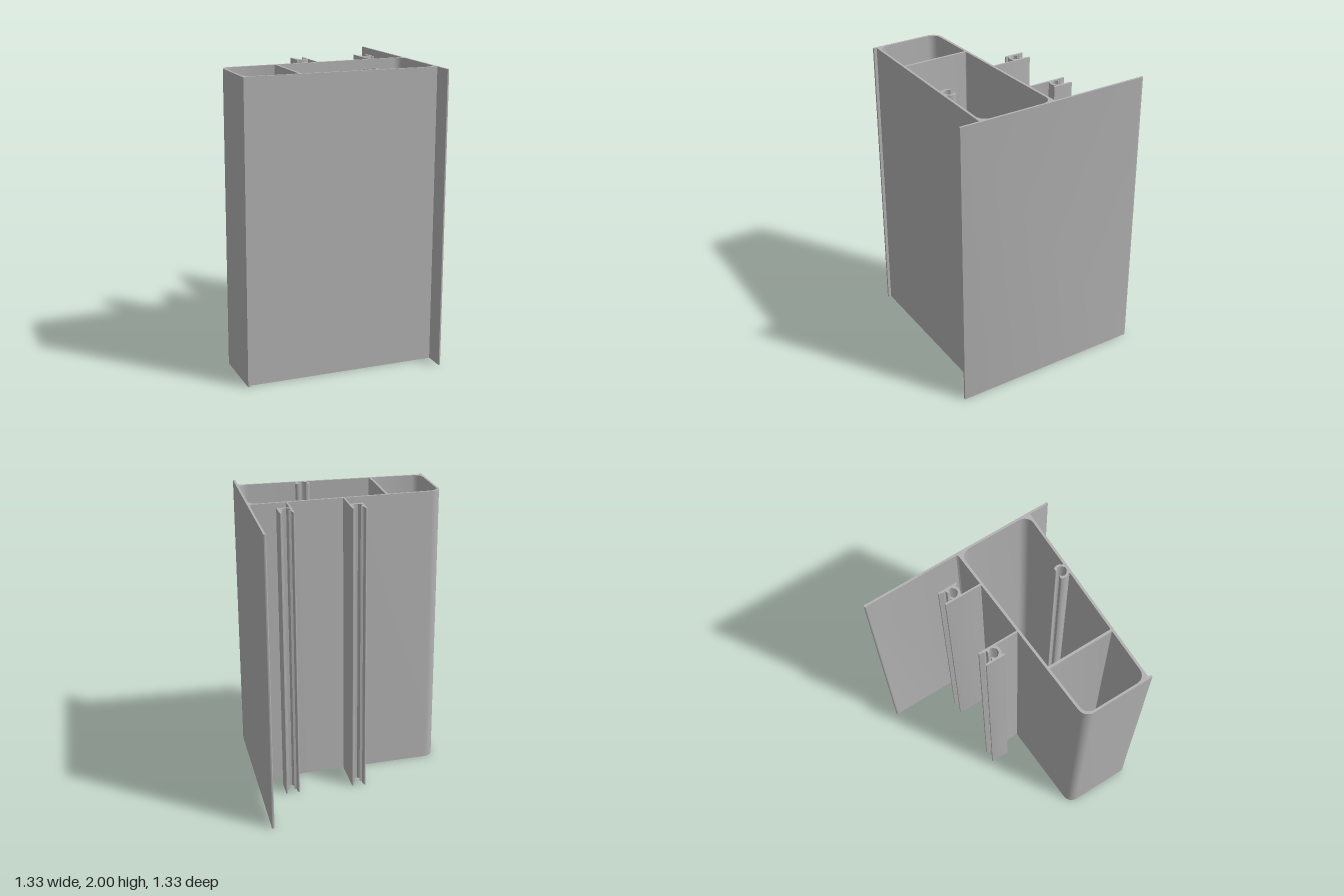
import * as THREE from 'three';
import { toCreasedNormals } from 'three/addons/utils/BufferGeometryUtils.js';

const HEIGHT = 2;

// Closed outline from [x, z, cornerRadius] points
function outline(points, Type = THREE.Shape) {
  const path = new Type();
  const n = points.length;
  points.forEach(([x, z, r = 0], i) => {
    const corner = new THREE.Vector2(x, z);
    const toward = (p, d) => {
      const dir = new THREE.Vector2(p[0] - x, p[1] - z).normalize();
      return corner.clone().addScaledVector(dir, d);
    };
    const prev = points[(i + n - 1) % n], next = points[(i + 1) % n];
    const a = toward(prev, r), b = toward(next, r);
    if (i === 0) path.moveTo(a.x, a.y); else path.lineTo(a.x, a.y);
    if (r > 0) {
      const c = toward(prev, r * 0.45), d = toward(next, r * 0.45);
      path.bezierCurveTo(c.x, c.y, d.x, d.y, b.x, b.y);
    }
  });
  path.closePath();
  return path;
}

// Full outline from a half that starts and ends on the middle line
const mirrored = (half) => [
  ...half,
  ...half.slice(1, -1).reverse().map(([x, z, r]) => [-x, z, r]),
];

export function createModel() {
  const model = new THREE.Group();
  model.name = 'extrudedFrameProfile';
  const aluminium = new THREE.MeshStandardMaterial({ color: 0xb2b2b2 });
  aluminium.name = 'aluminium grey';

  // Cross-section in x and z, pulled up along y
  function addProfile(name, shape, x = 0, parent = model) {
    let geometry = new THREE.ExtrudeGeometry(shape, { depth: HEIGHT, bevelEnabled: false, curveSegments: 8 });
    geometry.rotateX(Math.PI / 2);
    geometry.translate(x, HEIGHT, 0);
    geometry = toCreasedNormals(geometry, 0.6);
    const mesh = new THREE.Mesh(geometry, aluminium);
    mesh.name = name;
    parent.add(mesh);
  }

  // Sloping back wall
  const backOuter = (x) => 0.0323 - 0.0544 * x;
  const backInner = (x) => backOuter(x) + 0.017;

  // Hollow tube with two chambers, a divider and a small front lip
  const tube = outline([
    [-0.663, backOuter(-0.663), 0.066],
    [0.65, backOuter(0.65)],
    [0.65, 0.53],
    [-0.648, 0.53],
    [-0.648, 0.55],
    [-0.663, 0.55],
  ]);
  tube.holes.push(
    outline([
      [-0.648, backInner(-0.648), 0.06],
      [-0.292, backInner(-0.292), 0.006],
      [-0.292, 0.514, 0.006],
      [-0.648, 0.514, 0.063],
    ], THREE.Path),
    outline([
      [-0.275, backInner(-0.275), 0.006],
      [0.646, backInner(0.646), 0.066],
      [0.646, 0.514, 0.066],
      [-0.275, 0.514, 0.006],
    ], THREE.Path),
  );
  addProfile('chamberedTube', tube);

  // Long side flange with a beaded back edge
  addProfile('sideFlange', outline([
    [0.647, 0.666, 0.004], [0.661, 0.666, 0.004],
    [0.661, -0.645], [0.663, -0.655], [0.661, -0.666, 0.006],
    [0.645, -0.666, 0.006], [0.643, -0.655], [0.647, -0.645],
    [0.647, -0.012], [0.636, backOuter(0.636) + 0.003], [0.647, 0.01],
  ]));

  // Gasket channels: a long leg on the wall, a short outer leg and a cup between
  const leg = (side, end) => outline([
    [0.048, end], [0.036, end], [0.036, -0.197], [0.031, -0.207],
    [0.036, -0.23], [0.037, -0.242, 0.003], [0.047, -0.242, 0.003], [0.048, -0.23],
  ].map(([x, z, r]) => [x * side, z, r]));
  const cup = outline(mirrored([
    [0, -0.133], [0.012, -0.133], [0.03, -0.15], [0.034, -0.165],
    [0.027, -0.177], [0.018, -0.183], [0.017, -0.191], [0.04, -0.195],
    [0.04, -0.127], [0.018, -0.118], [0, -0.115],
  ]));
  for (const [name, x, side] of [['middleChannel', -0.026, 1], ['leftChannel', 0.442, -1]]) {
    const channel = new THREE.Group();
    channel.name = name;
    model.add(channel);
    addProfile('wallLeg', leg(side, backOuter(x + side * 0.042) + 0.008), x, channel);
    addProfile('outerLeg', leg(-side, -0.109), x, channel);
    addProfile('gasketCup', cup, x, channel);
  }

  // Open screw port on the inside of the front wall
  addProfile('screwPort', outline(mirrored([
    [0, 0.511], [0.012, 0.509], [0.029, 0.494], [0.034, 0.478],
    [0.03, 0.464], [0.019, 0.454], [0.019, 0.448, 0.002], [0.041, 0.448, 0.004],
    [0.048, 0.464], [0.049, 0.48], [0.045, 0.495], [0.035, 0.507], [0.036, 0.52], [0, 0.52],
  ])), 0.208);

  return model;
}
